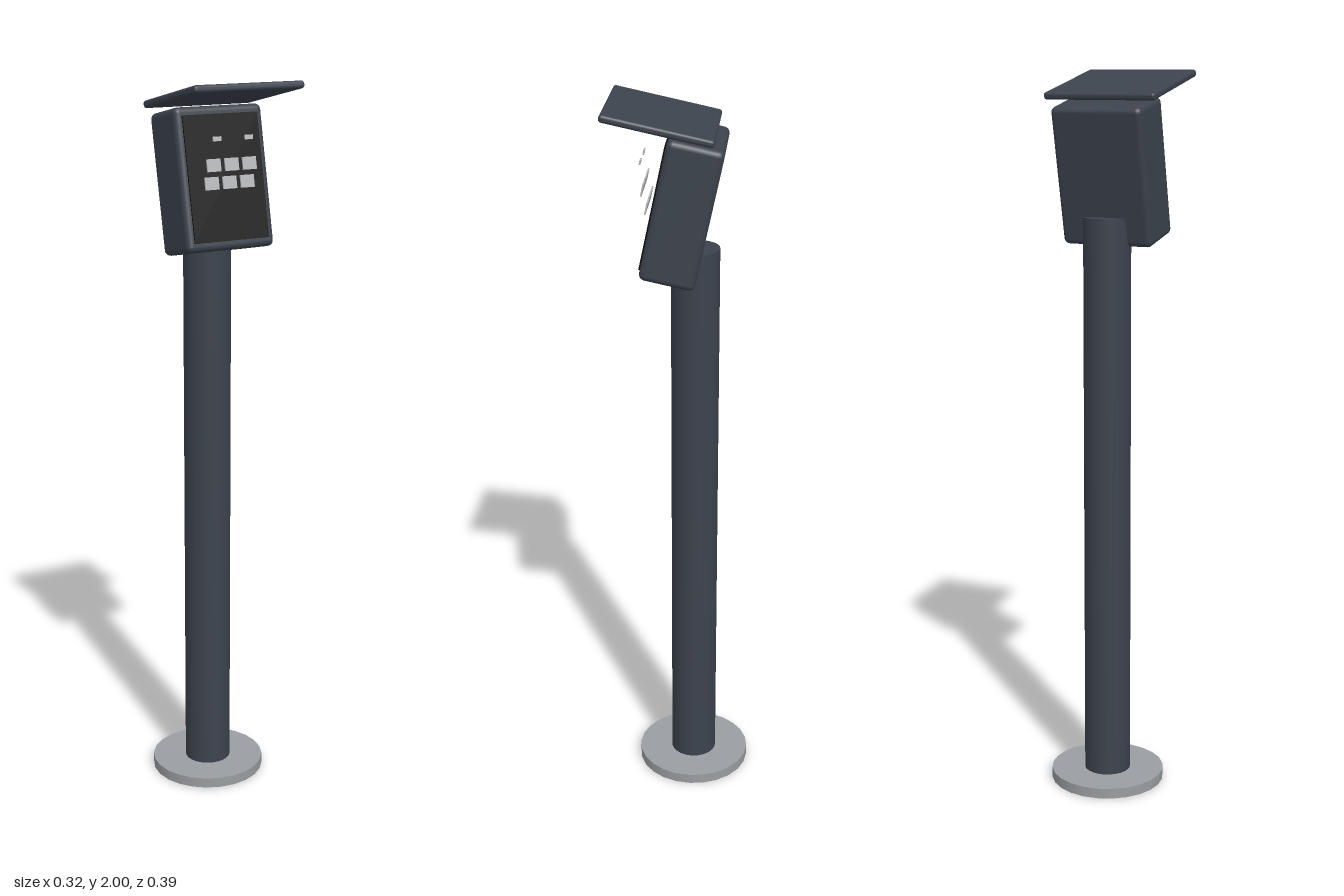
import * as THREE from 'three';
import { RoundedBoxGeometry } from 'three/addons/geometries/RoundedBoxGeometry.js';

const TILT = -THREE.MathUtils.degToRad(12);
const POLE_Z = -0.034;

function material(name, color) {
  const m = new THREE.MeshStandardMaterial({ color });
  m.name = name;
  return m;
}

export function createModel() {
  const group = new THREE.Group();
  group.name = 'accessTerminal';

  const slate = material('slate', 0x3c434d);
  const grey = material('base grey', 0x9a9da1);
  const black = material('screen black', 0x0a0a0b);
  const light = material('key grey', 0xb4b6b8);

  function add(name, geometry, mat, x, y, z, tilt = 0) {
    const mesh = new THREE.Mesh(geometry, mat);
    mesh.name = name;
    mesh.position.set(x, y, z);
    mesh.rotation.x = tilt;
    group.add(mesh);
    return mesh;
  }

  // Foot plate and post; the post shows through the underside of the plate
  add('basePlate', new THREE.CylinderGeometry(0.16, 0.16, 0.029, 24), grey, 0, 0.0155, POLE_Z);
  add('post', new THREE.CylinderGeometry(0.065, 0.065, 1.613, 24), slate, 0, 0.8065, POLE_Z);

  // Housing leaning back, with a dark front panel
  add('housing', new RoundedBoxGeometry(0.262, 0.376, 0.148, 3, 0.016), slate, 0, 1.733, -0.005, TILT);
  const panel = add('frontPanel', new THREE.BoxGeometry(0.224, 0.33, 0.005), black, 0, 1.733, -0.005, TILT);
  panel.translateZ(0.0755);

  // Rain hood, its front edge raised
  add('hood', new RoundedBoxGeometry(0.322, 0.02, 0.292, 3, 0.008), slate, 0, 1.96, 0.052, TILT);

  // Two rows of three keys, standing clear of the panel
  const keyGeometry = new THREE.BoxGeometry(0.041, 0.033, 0.004);
  for (const [y, z] of [[1.786, 0.098], [1.738, 0.088]]) {
    for (const x of [-0.053, 0, 0.053]) add('key', keyGeometry, light, x, y, z, TILT);
  }

  // Two small indicators above the keys
  const indicatorGeometry = new THREE.BoxGeometry(0.024, 0.012, 0.004);
  for (const x of [-0.047, 0.047]) add('indicator', indicatorGeometry, light, x, 1.854, 0.104, TILT);

  return group;
}
